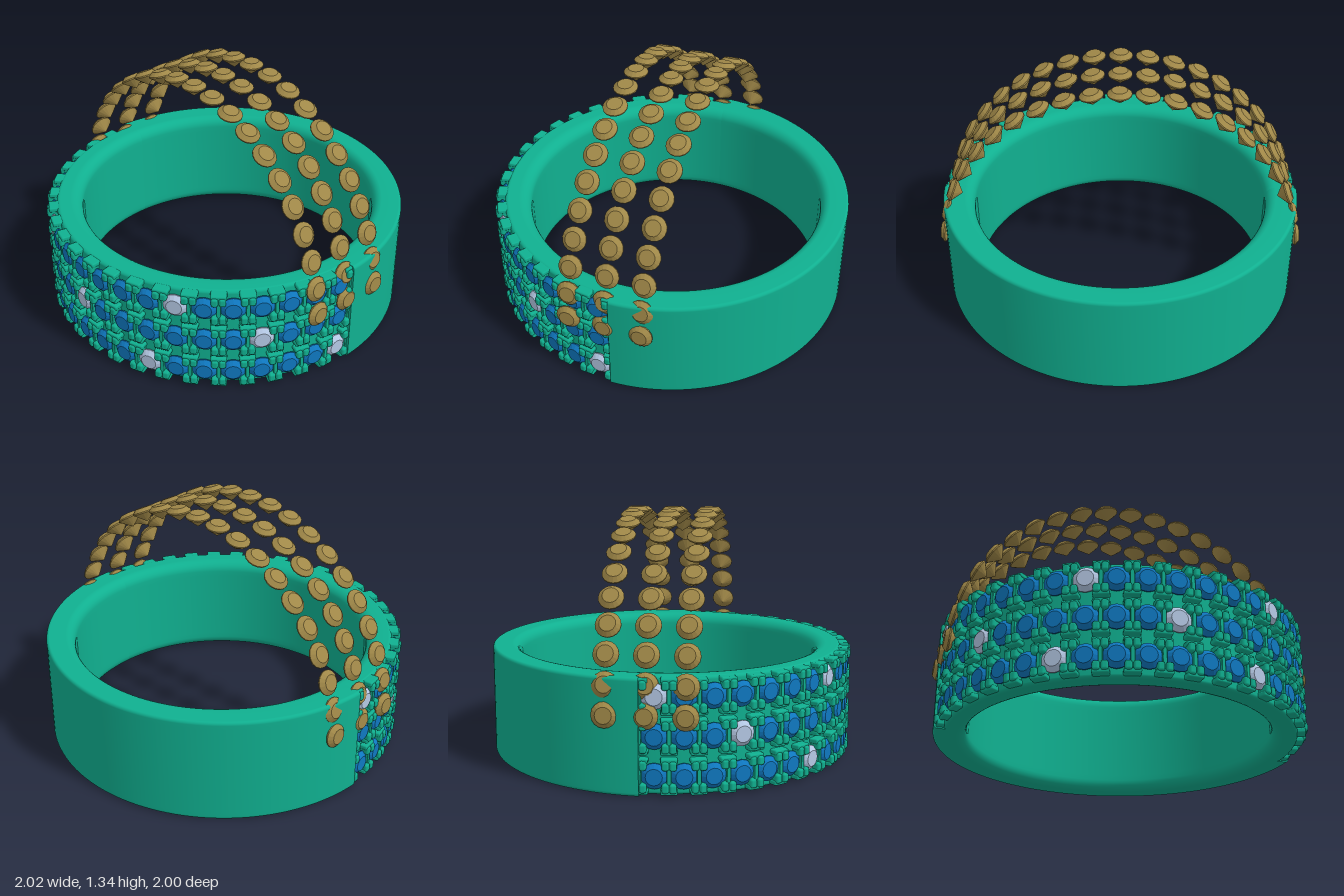
import * as THREE from 'three';
import { mergeGeometries } from 'three/addons/utils/BufferGeometryUtils.js';
import { RoundedBoxGeometry } from 'three/addons/geometries/RoundedBoxGeometry.js';

const STEP = Math.PI / 21;      // angle between stones
const CZ = -0.03;               // z of the finger hole's centre
const INNER = 0.82, HEIGHT = 0.595;
const ROWS = [0.1, 0.3, 0.5];

const paint = (color, extra = {}) => new THREE.MeshStandardMaterial({ color, ...extra });

// Outer radius about the finger hole: the band is thicker at the front
const surface = a => 1 + 0.025 * Math.cos(a);

// Closed band section (radius, y) with rounded corners, running up the outside
function bandProfile(outer) {
  const pts = [];
  const corner = (r, y, rad, from) => {
    for (let i = 0; i <= 6; i++) {
      const t = from + (i / 6) * Math.PI / 2;
      pts.push(new THREE.Vector2(r + rad * Math.cos(t), y + rad * Math.sin(t)));
    }
  };
  const o = 0.018, n = 0.06;
  corner(outer - o, o, o, -Math.PI / 2);
  pts.push(new THREE.Vector2(outer, 0.04), new THREE.Vector2(outer, HEIGHT - 0.04));
  corner(outer - o, HEIGHT - o, o, 0);
  corner(INNER + n, HEIGHT - n, n, Math.PI / 2);
  pts.push(new THREE.Vector2(INNER, HEIGHT - 0.09), new THREE.Vector2(INNER, 0.09));
  corner(INNER + n, n, n, Math.PI);
  pts.push(pts[0].clone());
  return pts;
}

// Half of the band; the outer wall is pushed forward relative to the hole
function halfBand(outer, start) {
  const geo = new THREE.LatheGeometry(bandProfile(outer), 72, start, Math.PI);
  const p = geo.attributes.position;
  for (let i = 0; i < p.count; i++) {
    const x = p.getX(i), z = p.getZ(i), r = Math.hypot(x, z), a = Math.atan2(x, z);
    const k = THREE.MathUtils.clamp((r - INNER) / (1 - INNER), 0, 1);
    const s = (r + (surface(a) - 1) * k) / r;
    p.setXYZ(i, x * s, p.getY(i), z * s + CZ);
  }
  geo.computeVertexNormals();
  return geo;
}

// Round cut stone, table towards +y, girdle at y = 0
function stone() {
  const profile = [[0, -0.055], [0.066, -0.003], [0.066, 0.004], [0.042, 0.025], [0, 0.025]];
  return new THREE.LatheGeometry(profile.map(([r, y]) => new THREE.Vector2(r, y)), 16);
}

// Moves a part facing +z onto the band's outside at angle a and height y
function ontoBand(geo, a, y, sink) {
  const r = surface(a) - sink;
  return geo.rotateY(a).translate(r * Math.sin(a), y, r * Math.cos(a) + CZ);
}

export function createModel() {
  const group = new THREE.Group();
  const add = (name, geo, mat) => {
    const mesh = new THREE.Mesh(geo, mat);
    mesh.name = name;
    group.add(mesh);
  };
  const teal = paint(0x10b090);
  const tealThin = paint(0x10b090, { side: THREE.DoubleSide });

  // Band: full thickness behind, cut back in front to carry the settings
  add('backBand', halfBand(1, Math.PI / 2), teal);
  add('frontBand', halfBand(0.95, -Math.PI / 2), teal);
  for (const side of [-1, 1]) {
    const cap = new THREE.ShapeGeometry(new THREE.Shape(bandProfile(1)));
    if (side < 0) cap.rotateY(Math.PI);
    add('bandStep', cap.translate(0, 0, CZ), tealThin);
  }

  // Three rows of set stones, every seventh one pale
  const blue = [], pale = [], prongs = [], rails = [];
  ROWS.forEach((y, row) => {
    const paleAt = [3, 0, 4][row];
    for (let k = -10; k <= 10; k++) {
      const a = k * STEP;
      const list = (k + 21 - paleAt) % 7 === 0 ? pale : blue;
      list.push(ontoBand(stone().rotateX(Math.PI / 2), a, y, 0.037));
      for (const sx of [-1, 1]) for (const sy of [-1, 1]) {
        const prong = new RoundedBoxGeometry(0.037, 0.048, 0.07, 1, 0.012);
        prongs.push(ontoBand(prong.translate(sx * 0.055, sy * 0.057, 0), a, y, 0.036));
      }
    }
    // Bars between stones, and short rails along both edges of the row
    for (let k = -10.5; k <= 10.5; k++) {
      const a = k * STEP;
      const bar = new RoundedBoxGeometry(0.022, 0.13, 0.06, 1, 0.004);
      rails.push(ontoBand(bar, a, y, 0.045));
      for (const sy of [-1, 1]) {
        const rail = new RoundedBoxGeometry(0.085, 0.026, 0.06, 1, 0.008);
        rails.push(ontoBand(rail, a, y + sy * 0.079, 0.041));
      }
    }
  });
  add('blueStones', mergeGeometries(blue), paint(0x0f78c0, { flatShading: true }));
  add('paleStones', mergeGeometries(pale), paint(0xb4c8e4, { flatShading: true }));
  add('prongs', mergeGeometries(prongs), teal);
  add('settingRails', mergeGeometries(rails), teal);

  // Three arches of golden stones spanning the ring
  const gold = paint(0xa08848, { flatShading: true });
  for (const z of [-0.2, 0, 0.2]) {
    const arch = [];
    for (let k = -10; k <= 10; k++) {
      const a = k * STEP, r = 0.985;
      arch.push(stone().rotateZ(-a).translate(r * Math.sin(a), 0.33 + r * Math.cos(a), z));
    }
    add('stoneArch', mergeGeometries(arch), gold);
  }
  return group;
}
